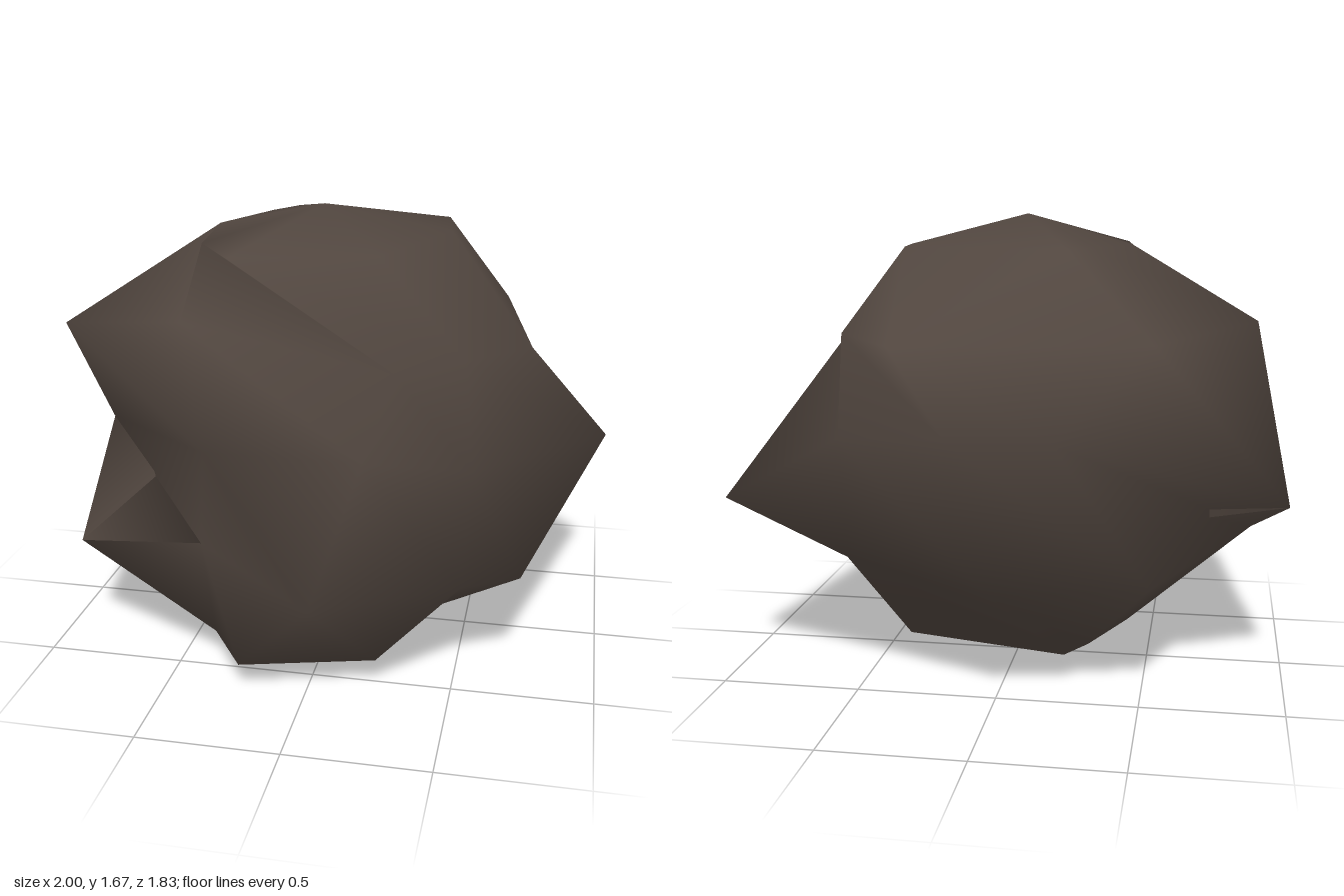
import * as THREE from 'three';

// Each ring of the boulder as [x, z] corners:
// right side, front right, front, front left, left side, back left, back, back right
const crown = [
  [-0.417, 0.083], [-0.375, 0.45], [-0.23, 0.667], [0.236, 0.544],
  [0.417, 0.083], [0.378, -0.19], [-0.22, -0.333], [-0.295, -0.21],
];
const shoulder = [
  [-0.889, 0.417], [-0.5, 0.34], [0.333, 0.805], [0.528, 0.62],
  [0.722, 0.417], [0.6, -0.26], [0.333, -0.639], [-0.53, -0.48],
];
const waist = [
  [-1, -0.25], [-0.25, 0.917], [0.25, 0.917], [0.583, 0.917],
  [1, -0.417], [0.417, -0.917], [0.083, -0.917], [-0.25, -0.917],
];
const underside = [
  [-0.889, 0.417], [-0.45, 0.36], [0.05, 0.805], [0.528, 0.53],
  [0.722, 0.417], [0.6, -0.26], [0, -0.639], [-0.53, -0.48],
];

// The two side tips of the waist hang low, the other corners sit high
const waistHeight = (j) => (j % 4 === 0 ? 0.667 : 1);

function boulderGeometry() {
  const rings = [
    [crown, () => 1.556], [shoulder, () => 1.25], [waist, waistHeight],
    [underside, () => 0.417], [crown, () => 0.111],
  ];
  const n = 8, positions = [0, 1.667, 0.25], index = [];
  for (const [corners, height] of rings) {
    corners.forEach(([x, z], j) => positions.push(x, height(j), z));
  }
  const bottom = positions.length / 3;
  positions.push(0, 0, 0.25);
  const at = (ring, j) => 1 + ring * n + (j % n);

  for (let j = 0; j < n; j++) {
    // top and bottom caps
    index.push(0, at(0, j), at(0, j + 1));
    index.push(bottom, at(4, j + 1), at(4, j));
    // bands between rings
    for (let k = 0; k < 4; k++) {
      index.push(at(k, j + 1), at(k, j), at(k + 1, j + 1));
      index.push(at(k, j), at(k + 1, j), at(k + 1, j + 1));
    }
  }
  const geometry = new THREE.BufferGeometry();
  geometry.setAttribute('position', new THREE.Float32BufferAttribute(positions, 3));
  geometry.setIndex(index);
  geometry.computeVertexNormals();
  return geometry;
}

export function createModel() {
  const group = new THREE.Group();
  group.name = 'rock';
  const stone = new THREE.MeshStandardMaterial({ color: 0x51463f, side: THREE.DoubleSide });
  stone.name = 'dark brown stone';
  const boulder = new THREE.Mesh(boulderGeometry(), stone);
  boulder.name = 'boulder';
  group.add(boulder);
  return group;
}
